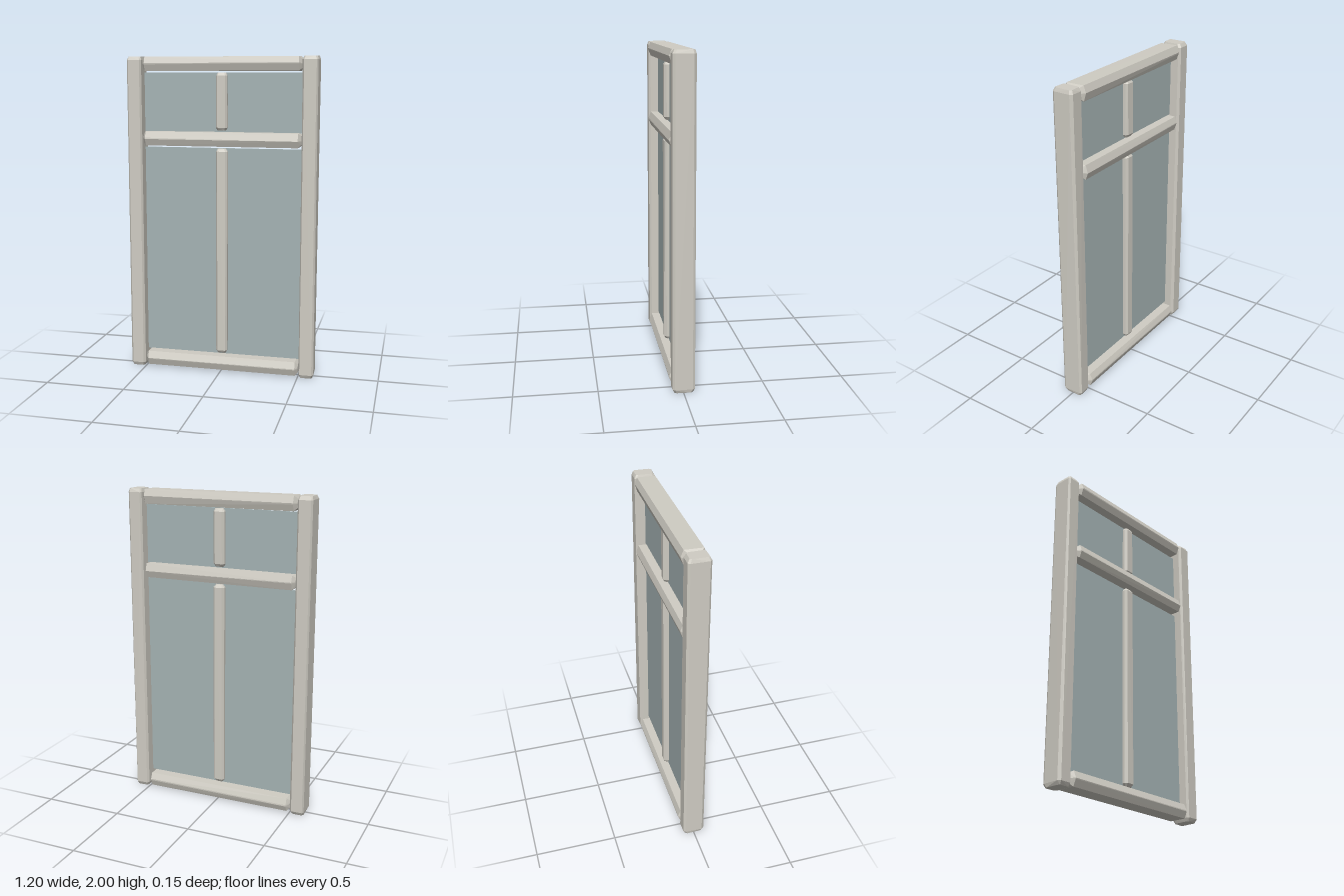
import * as THREE from 'three';
import { ConvexGeometry } from 'three/addons/geometries/ConvexGeometry.js';

export function createModel() {
  const model = new THREE.Group();
  model.name = 'window';

  const wood = new THREE.MeshStandardMaterial({ color: 0xcfccc3 });
  wood.name = 'pale painted wood';
  const glass = new THREE.MeshStandardMaterial({ color: 0xa5b3b4 });
  glass.name = 'grey blue glass';

  // Small seeded generator for the slightly worn, hand-cut edges
  let seed = 7;
  const wobble = (amount) => {
    seed = (seed * 16807) % 2147483647;
    return (seed / 2147483647 - 0.5) * amount;
  };

  // Faceted beam along y: a half-section mirrored in x and z, tapered at both ends
  function beamGeometry(length, corners, inset, endScale, wear) {
    const points = [];
    const levels = [[1, endScale], [1 - (2 * inset) / length, 1]];
    for (const [level, scale] of levels) {
      for (const sy of [-1, 1]) for (const sx of [-1, 1]) for (const sz of [-1, 1]) {
        for (const [x, z] of corners) {
          points.push(new THREE.Vector3(
            sx * x * scale + wobble(wear),
            sy * level * length / 2,
            sz * z * scale + wobble(wear),
          ));
        }
      }
    }
    return new ConvexGeometry(points);
  }

  function addBeam(name, geometry, x, y, horizontal = false) {
    const mesh = new THREE.Mesh(geometry, wood);
    mesh.name = name;
    mesh.position.set(x, y, 0);
    if (horizontal) mesh.rotation.z = -Math.PI / 2;
    model.add(mesh);
  }

  // Side posts with narrow chamfers
  const postCorners = [[0.047, 0.052], [0.036, 0.067]];
  for (const [name, side] of [['rightPost', -1], ['leftPost', 1]]) {
    addBeam(name, beamGeometry(2, postCorners, 0.022, 0.82, 0.005), side * 0.552, 1);
  }

  // Rails with a shallow ridge along the front and back
  const railCorners = [[0.044, 0.056], [0.004, 0.071]];
  for (const [name, y] of [['bottomRail', 0.055], ['middleRail', 1.493], ['topRail', 1.955]]) {
    addBeam(name, beamGeometry(1, railCorners, 0.018, 0.6, 0.004), 0, y, true);
  }

  // Slim central glazing bars
  const barCorners = [[0.036, 0.022], [0.024, 0.036]];
  for (const [name, low, high] of [['lowerBar', 0.115, 1.435], ['upperBar', 1.547, 1.9]]) {
    addBeam(name, beamGeometry(high - low, barCorners, 0.018, 0.7, 0.004), 0, (low + high) / 2);
  }

  // Thin glass panes
  for (const [name, low, high] of [['lowerPane', 0.106, 1.437], ['upperPane', 1.536, 1.902]]) {
    const pane = new THREE.Mesh(new THREE.BoxGeometry(1, high - low, 0.009), glass);
    pane.name = name;
    pane.position.y = (low + high) / 2;
    model.add(pane);
  }

  return model;
}
